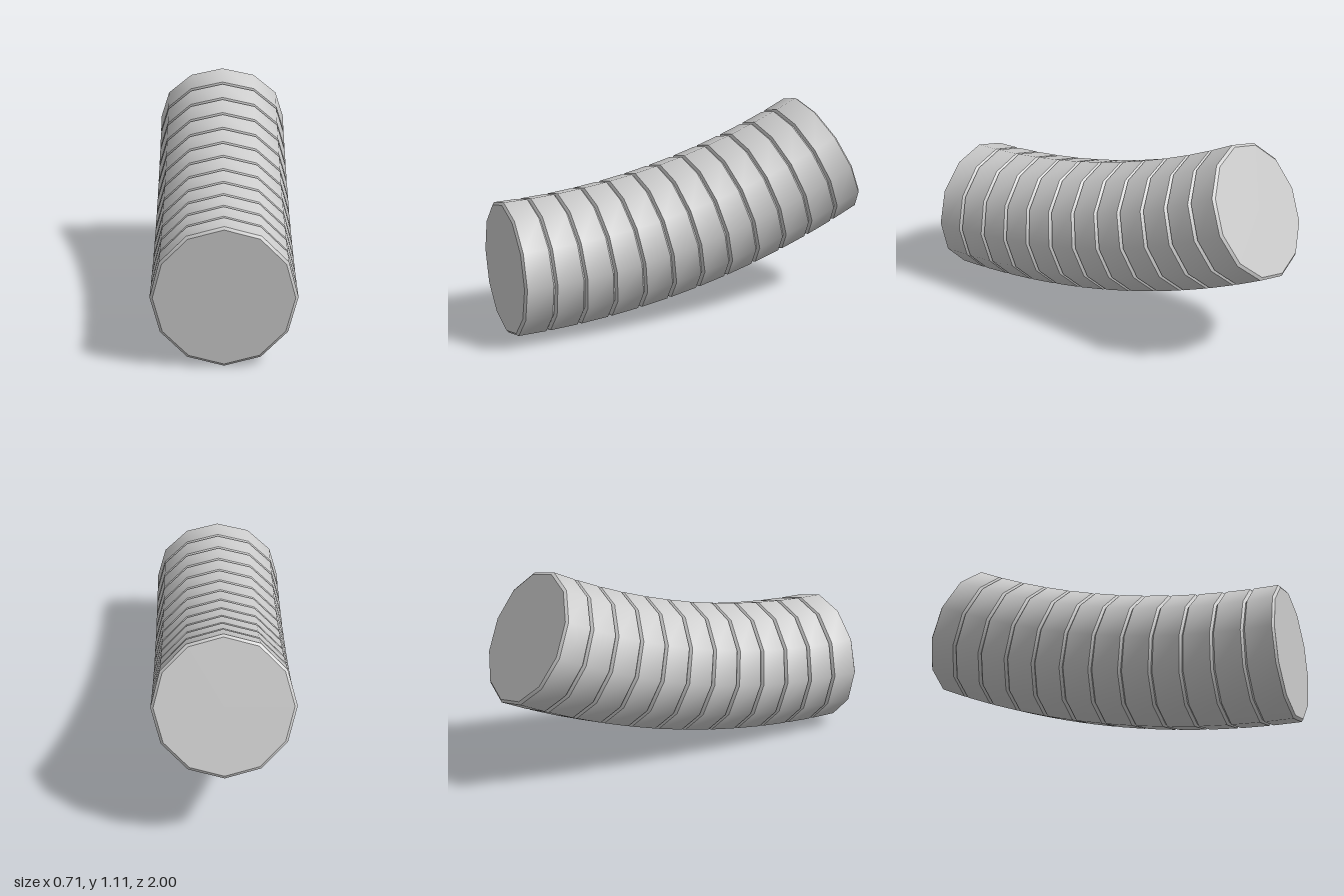
import * as THREE from 'three';
import { toCreasedNormals } from 'three/addons/utils/BufferGeometryUtils.js';

const RADIUS = 0.357;      // outer radius of every ring
const BEVEL_R = 0.014;     // chamfer depth
const BEVEL_L = 0.011;     // chamfer length along the hose
const COUNT = 12;          // rings along the hose
const SIDES = 12;          // sides around each ring
const BEND_R = 4.155;      // radius of the upward bend
const BEND_ANGLE = THREE.MathUtils.degToRad(26.4);
const LENGTH = BEND_R * BEND_ANGLE;

// Bend a solid standing along +y so it runs from the front to -z, curving upward
function bend(geometry) {
  const p = geometry.attributes.position;
  for (let i = 0; i < p.count; i++) {
    const a = p.getY(i) / BEND_R;
    const r = BEND_R - p.getZ(i);
    p.setXYZ(i, p.getX(i), RADIUS + BEND_R - r * Math.cos(a), 1 - r * Math.sin(a));
  }
  return geometry;
}

export function createModel() {
  const group = new THREE.Group();
  group.name = 'bentHose';
  const material = new THREE.MeshStandardMaterial({ color: 0xcccccc });
  const step = LENGTH / COUNT;

  // Chamfered rings, end to end, leaving a V groove at each joint
  for (let i = 0; i < COUNT; i++) {
    const s0 = i * step, s1 = s0 + step;
    const profile = [
      [0, s0], [RADIUS - BEVEL_R, s0], [RADIUS, s0 + BEVEL_L],
      [RADIUS, s1 - BEVEL_L], [RADIUS - BEVEL_R, s1], [0, s1],
    ].map(([r, s]) => new THREE.Vector2(r, s));
    const solid = bend(new THREE.LatheGeometry(profile, SIDES));
    // Smooth around the sides, sharp at the chamfers
    const ring = new THREE.Mesh(toCreasedNormals(solid, 0.6), material);
    ring.name = `hoseRing${i + 1}`;
    group.add(ring);
  }
  return group;
}
